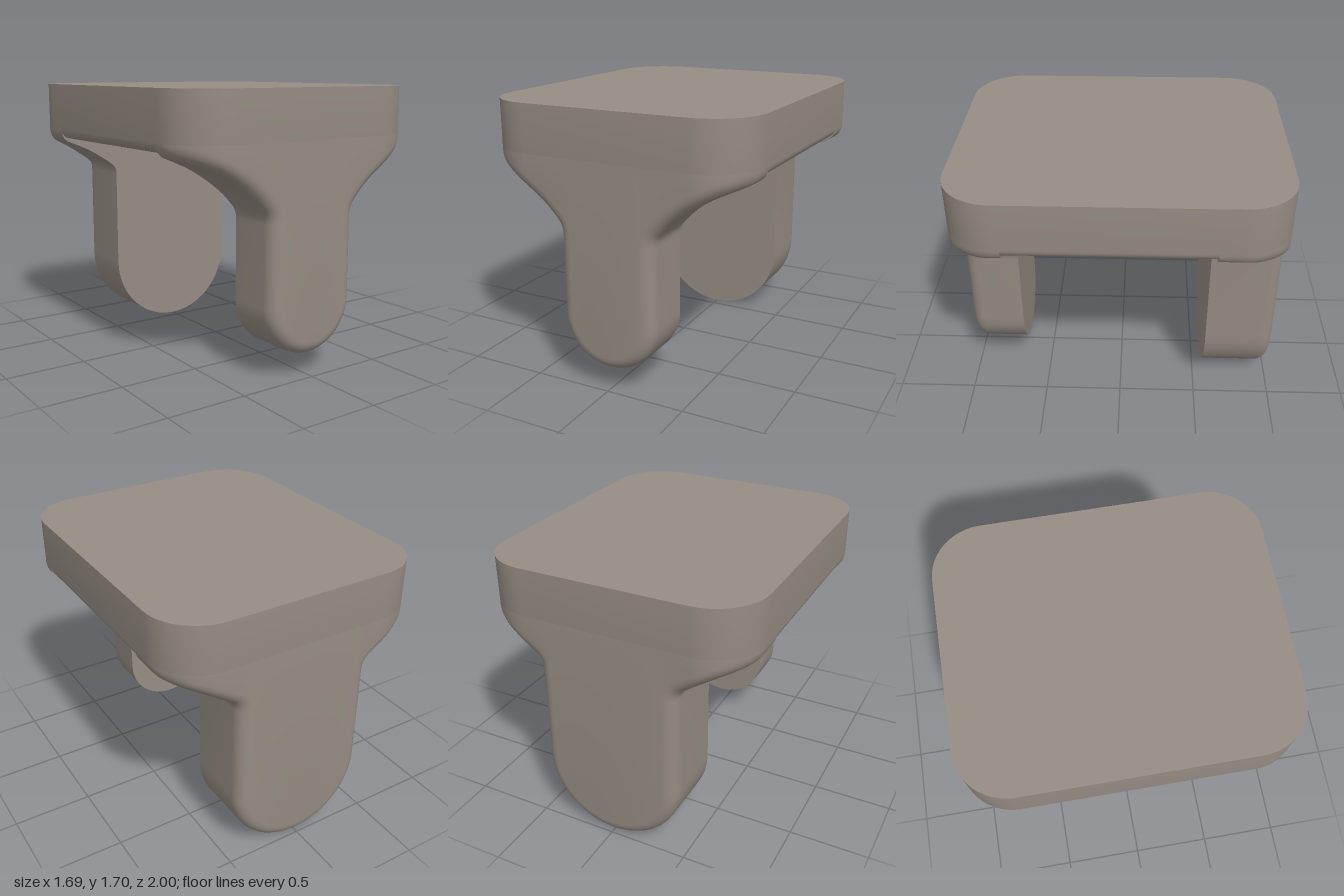
import * as THREE from 'three';
import { toCreasedNormals } from 'three/addons/utils/BufferGeometryUtils.js';

const HALF_W = 0.847, HALF_D = 1, CORNER = 0.32;
const TOP = 1.695, SLAB_EDGE = 1.4, EDGE = 0.06, FILLET = 0.08;

// Surface through a grid of points: columns[i][j] = [x, y, z]
function loft(columns) {
  const rows = columns[0].length, index = [];
  for (let i = 0; i < columns.length - 1; i++) {
    for (let j = 0; j < rows - 1; j++) {
      const a = i * rows + j, b = a + rows;
      index.push(a, b, a + 1, b, b + 1, a + 1);
    }
  }
  const g = new THREE.BufferGeometry();
  g.setAttribute('position', new THREE.Float32BufferAttribute(columns.flat(2), 3));
  g.setIndex(index);
  return toCreasedNormals(g, 0.65);
}

// Depth of the rounded-rectangle plan at a given x
function planDepth(x) {
  const d = Math.max(0, Math.abs(x) - (HALF_W - CORNER));
  return HALF_D - CORNER + Math.sqrt(Math.max(0, CORNER * CORNER - d * d));
}

// Top slab: stacked rounded rectangles, rounded at the lower edge
function slabGeometry() {
  const columns = [], steps = 12;
  for (let c = 0; c < 4; c++) {
    for (let k = 0; k <= steps; k++) {
      const t = (c + k / steps) * Math.PI / 2;
      const cx = (c < 2 ? 1 : -1) * (HALF_W - CORNER);
      const cz = (c === 0 || c === 3 ? 1 : -1) * (HALF_D - CORNER);
      const at = (inset, y) => [
        cx + Math.sin(t) * (CORNER - inset), y, cz + Math.cos(t) * (CORNER - inset)];
      const column = [[0, SLAB_EDGE - EDGE, 0]];
      for (let s = 0; s <= 6; s++) {
        const a = s / 6 * Math.PI / 2;
        column.push(at(EDGE * (1 - Math.sin(a)), SLAB_EDGE - EDGE * Math.cos(a)));
      }
      column.push(at(0, TOP), [0, TOP, 0]);
      columns.push(column);
    }
  }
  columns.push(columns[0]);
  return loft(columns);
}

// Lower outline of a leg from its bottom centre out to the slab edge
function legOutline(halfWidth, bottom) {
  const pts = [];
  for (let k = 0; k <= 12; k++) {
    const a = k / 12 * Math.PI / 2;
    pts.push(new THREE.Vector2(halfWidth * Math.sin(a), bottom + halfWidth * (1 - Math.cos(a))));
  }
  // Flare shared by both legs, entered where it meets the straight side
  const flare = new THREE.SplineCurve([
    [0.29, 0.955], [0.33, 1.005], [0.4, 1.08], [0.486, 1.15], [0.56, 1.2],
    [0.645, 1.25], [0.72, 1.284], [0.79, 1.313],
  ].map(([x, y]) => new THREE.Vector2(x, y))).getPoints(36);
  const start = flare.find((p) => p.x > halfWidth);
  const after = flare.filter((p) => p.x > halfWidth + 0.035);
  const bend = new THREE.QuadraticBezierCurve(
    new THREE.Vector2(halfWidth, start.y - 0.05), new THREE.Vector2(halfWidth, start.y), after[0]);
  pts.push(...bend.getPoints(5), ...after.slice(1));
  // Rounded outer corner
  const corner = new THREE.CubicBezierCurve(after[after.length - 1],
    new THREE.Vector2(0.822, 1.325), new THREE.Vector2(HALF_W, 1.35),
    new THREE.Vector2(HALF_W, SLAB_EDGE));
  pts.push(...corner.getPoints(8).slice(1));
  const mirrored = pts.slice(1).reverse().map((p) => new THREE.Vector2(-p.x, p.y));
  return [...mirrored, ...pts];
}

// Leg facing +z: flat inside, filleted outside, following the plan corners
function legGeometry(halfWidth, bottom, inner) {
  const outline = legOutline(halfWidth, bottom);
  const columns = outline.map((p, i) => {
    const prev = outline[Math.max(0, i - 1)], next = outline[Math.min(outline.length - 1, i + 1)];
    const dir = next.clone().sub(prev).normalize();
    // The inset turns upright where the outer face curves away
    const nx = -dir.y * (1 - THREE.MathUtils.smoothstep(Math.abs(p.x), 0.55, 0.8));
    const ny = dir.x;
    const column = [[p.x, SLAB_EDGE, inner], [p.x, p.y, inner]];
    let x = p.x;
    for (let s = 0; s <= 6; s++) {
      const a = s / 6 * Math.PI / 2, inset = FILLET * (1 - Math.cos(a));
      x = p.x + nx * inset;
      const z = planDepth(x) - FILLET * (1 - Math.sin(a));
      column.push([x, Math.min(SLAB_EDGE, p.y + ny * inset), Math.max(inner + 0.001, z)]);
    }
    column.push([x, SLAB_EDGE, planDepth(x)]);
    return column;
  });
  return loft(columns);
}

export function createModel() {
  const group = new THREE.Group();
  const material = new THREE.MeshStandardMaterial({ color: 0x968d83, side: THREE.DoubleSide });
  const add = (name, geometry) => {
    const mesh = new THREE.Mesh(geometry, material);
    mesh.name = name;
    group.add(mesh);
    return mesh;
  };
  add('topSlab', slabGeometry());
  add('frontLeg', legGeometry(0.31, 0.135, 0.655));
  add('backLeg', legGeometry(0.448, 0, 0.56)).rotation.y = Math.PI;
  return group;
}
